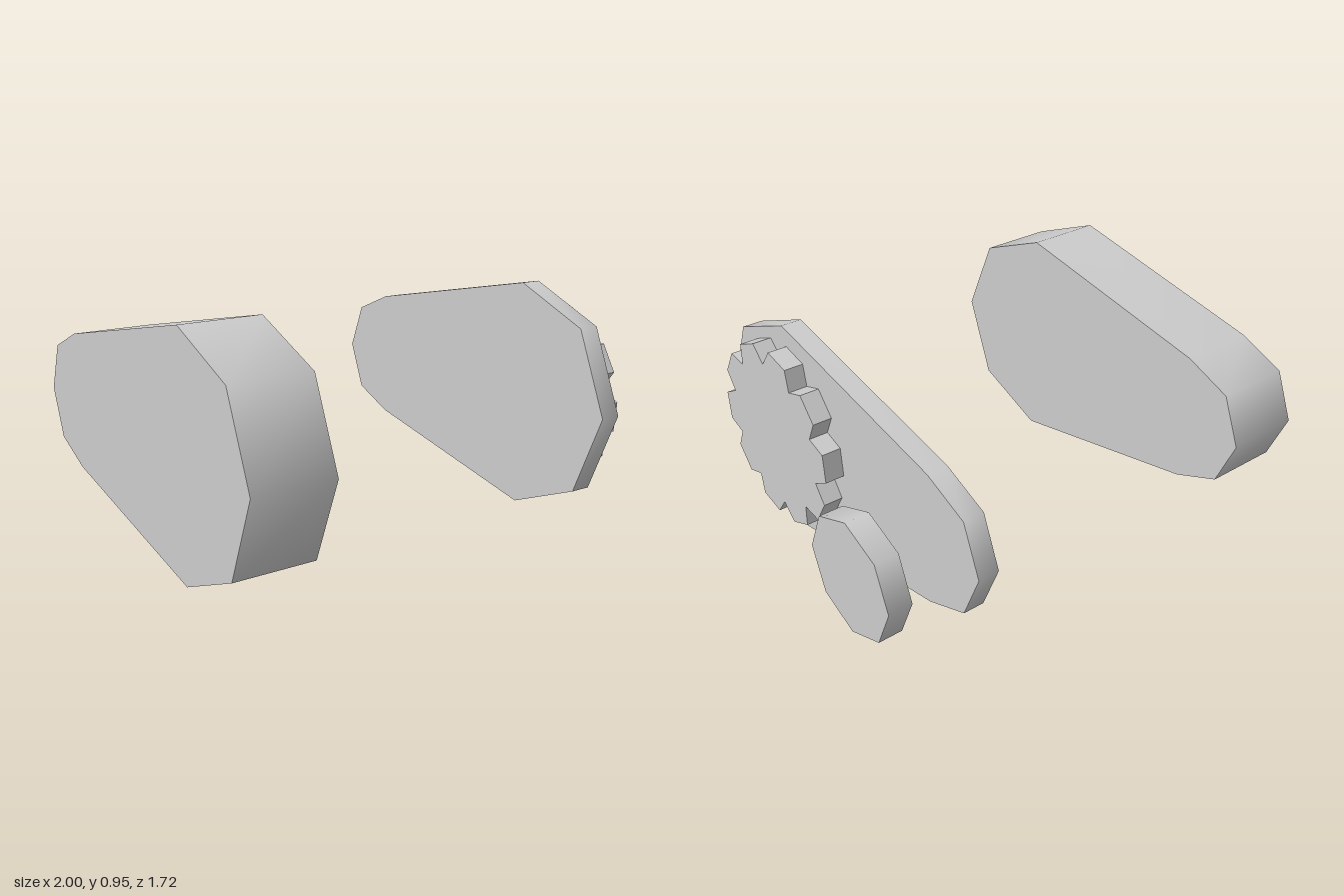
import * as THREE from 'three';
import { toCreasedNormals } from 'three/addons/utils/BufferGeometryUtils.js';

const CY = 0.477;              // height of both axles
const FRONT_Z = 0.383, REAR_Z = -0.571;

const material = new THREE.MeshStandardMaterial({ color: 0xcccccc });
const thinMaterial = new THREE.MeshStandardMaterial({ color: 0xcccccc, side: THREE.DoubleSide });

// Point on a circle in the side plane (first axis points to the rear)
function polar(z, r, degrees) {
  const a = THREE.MathUtils.degToRad(degrees);
  return new THREE.Vector2(-z + r * Math.cos(a), CY + r * Math.sin(a));
}

// Extrude a side outline from x0 to x1
function slab(name, points, x0, x1, crease) {
  const geometry = new THREE.ExtrudeGeometry(new THREE.Shape(points), { depth: x1 - x0, bevelEnabled: false });
  geometry.rotateY(Math.PI / 2).translate(x0, 0, 0);
  const mesh = new THREE.Mesh(toCreasedNormals(geometry, crease), material);
  mesh.name = name;
  return mesh;
}

// Tapered track outline: a large half octagon in front, a small one behind
function trackOutline() {
  const points = [];
  for (let a = -90; a <= 90; a += 45) points.push(polar(REAR_Z, 0.285, a));
  for (let a = 90; a <= 270; a += 45) points.push(polar(FRONT_Z, 0.476, a));
  return points;
}

// Ten flat teeth with a V notch between neighbours
function gearOutline() {
  const points = [];
  for (let i = 0; i < 10; i++) {
    const a = 68.5 + i * 36;
    points.push(polar(FRONT_Z, 0.395, a), polar(FRONT_Z, 0.395, a + 18), polar(FRONT_Z, 0.32, a + 27));
  }
  return points;
}

export function createModel() {
  const model = new THREE.Group();
  model.name = 'trackAssembly';

  // Wide track block and thin side plate share one outline
  model.add(slab('trackBlock', trackOutline(), -1, -0.667, 0.9));
  model.add(slab('sidePlate', trackOutline(), 0.572, 0.66, 0.9));

  // Toothed drive wheel on the plate
  model.add(slab('driveSprocket', gearOutline(), 0.66, 0.742, 0.1));

  // Detached octagonal idler wheel, hollow on its inner side
  const idler = new THREE.Group();
  idler.name = 'idlerWheel';
  idler.position.set(0.952, CY, REAR_Z);
  const rim = new THREE.Mesh(new THREE.CylinderGeometry(0.238, 0.238, 0.096, 8, 1, true).rotateZ(-Math.PI / 2), thinMaterial);
  rim.name = 'idlerRim';
  const cap = new THREE.Mesh(new THREE.CircleGeometry(0.238, 8).rotateY(Math.PI / 2), thinMaterial);
  cap.name = 'idlerCap';
  cap.position.x = 0.048;
  idler.add(rim, cap);
  model.add(idler);

  return model;
}
